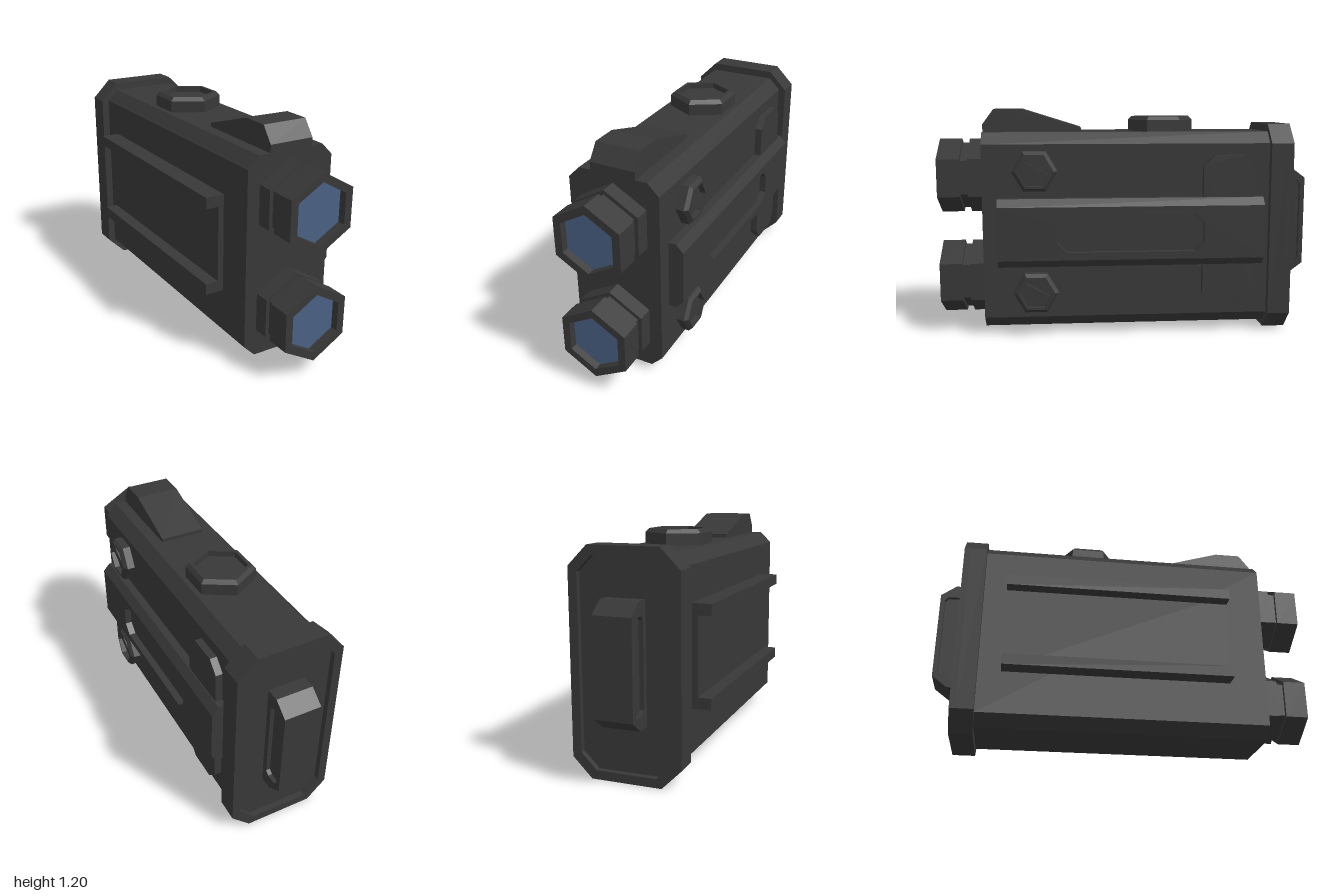
import * as THREE from 'three';

const CX = 0.008; // body centre line

export function createModel() {
  const model = new THREE.Group();
  model.name = 'laserModule';
  const casing = new THREE.MeshStandardMaterial({ color: 0x383838 });
  casing.name = 'charcoal casing';
  const glass = new THREE.MeshStandardMaterial({ color: 0x4a6285 });
  glass.name = 'blue glass';

  const add = (name, geo, x = 0, y = 0, z = 0, mat = casing) => {
    const g = geo.index ? geo.toNonIndexed() : geo;
    g.computeVertexNormals();
    const m = new THREE.Mesh(g, mat);
    m.name = name;
    m.position.set(x, y, z);
    model.add(m);
    return m;
  };
  const poly = (pts) => new THREE.Shape(pts.map(([a, b]) => new THREE.Vector2(a, b)));
  // rectangle with cut corners
  const cut = (x0, y0, x1, y1, c) => poly([
    [x0 + c, y0], [x1 - c, y0], [x1, y0 + c], [x1, y1 - c],
    [x1 - c, y1], [x0 + c, y1], [x0, y1 - c], [x0, y0 + c]]);
  const holed = (shape, hole) => { shape.holes.push(hole); return shape; };
  // extrude an xy shape from z0 to z1
  const alongZ = (shape, z0, z1) =>
    new THREE.ExtrudeGeometry(shape, { depth: z1 - z0, bevelEnabled: false }).translate(0, 0, z0);
  // extrude a (-z, y) shape from x0 to x1
  const alongX = (shape, x0, x1) =>
    new THREE.ExtrudeGeometry(shape, { depth: x1 - x0, bevelEnabled: false }).rotateY(Math.PI / 2).translate(x0, 0, 0);
  const box = (x0, x1, y0, y1, z0, z1) =>
    new THREE.BoxGeometry(x1 - x0, y1 - y0, z1 - z0).translate((x0 + x1) / 2, (y0 + y1) / 2, (z0 + z1) / 2);
  // six-sided turned part from [radius, height] pairs
  const hex = (pts) => new THREE.LatheGeometry(pts.map(([r, h]) => new THREE.Vector2(r, h)), 6);

  // main body and end plate with a raised rim
  add('body', alongZ(cut(-0.24, 0.04, 0.24, 1.08, 0.06), -0.76, 0.76), CX);
  add('endPlate', alongZ(cut(-0.28, 0, 0.28, 1.12, 0.1), -0.85, -0.76), CX);
  add('endPlateRim', alongZ(holed(cut(-0.28, 0, 0.28, 1.12, 0.1),
    cut(-0.235, 0.045, 0.235, 1.075, 0.08)), -0.88, -0.85), CX);

  // rear grip block with hollowed sides
  const gripShape = () => poly([[0.85, 0.28], [0.92, 0.28], [1, 0.34], [1, 0.82], [0.92, 0.88], [0.85, 0.88]]);
  add('rearGrip', alongX(gripShape(), -0.075, 0.075), CX);
  for (const s of [-1, 1]) {
    const frame = holed(gripShape(), cut(0.88, 0.35, 0.975, 0.81, 0.02));
    add('rearGripFrame', alongX(frame, -0.011, 0.011), CX + s * 0.086);
  }

  // front hexagonal emitters with recessed glass
  for (const y of [0.28, 0.84]) {
    const housing = hex([[0.2, 0], [0.2, 0.08], [0.178, 0.08], [0.178, 0.12], [0.2, 0.12],
      [0.2, 0.24], [0.155, 0.24], [0.155, 0.19], [0, 0.19]]).rotateX(Math.PI / 2);
    add('emitterHousing', housing, CX, y, 0.76);
    add('emitterGlass', new THREE.CircleGeometry(0.155, 6).rotateZ(Math.PI / 6), CX, y, 0.96, glass);
  }

  // top ramp and hexagonal button
  const ramp = poly([[-0.76, 1.07], [-0.24, 1.07], [-0.24, 1.1], [-0.56, 1.2], [-0.7, 1.2], [-0.76, 1.12]]);
  add('topRamp', alongX(ramp, -0.119, 0.119), CX);
  add('topButton', hex([[0.177, 0], [0.177, 0.06], [0.157, 0.08], [0.137, 0.08], [0.137, 0.05], [0, 0.05]]),
    CX, 1.08, -0.2);

  // mounting plate and two rails on the right
  add('mountPlate', box(-0.262, -0.23, 0.325, 0.84, -0.64, 0.56));
  for (const y of [0.325, 0.782]) add('mountRail', box(-0.33, -0.23, y, y + 0.058, -0.64, 0.56));

  // long cover on the left, with bevelled edges and a recessed panel
  add('coverBase', box(0.245, 0.29, 0.38, 0.74, -0.72, 0.68));
  const coverFace = holed(poly([[-0.68, 0.42], [0.72, 0.42], [0.72, 0.7], [-0.68, 0.7]]),
    cut(-0.37, 0.46, 0.4, 0.66, 0.05));
  add('coverFace', alongX(coverFace, 0.29, 0.327));
  add('coverUpperBevel', alongZ(poly([[0.29, 0.7], [0.327, 0.7], [0.29, 0.74]]), -0.72, 0.68));
  add('coverLowerBevel', alongZ(poly([[0.29, 0.38], [0.327, 0.42], [0.29, 0.42]]), -0.72, 0.68));
  add('clampPad', alongX(cut(0.4, 0.16, 0.675, 0.96, 0.06), 0.245, 0.285));

  // hexagonal adjuster screws with a tilted bar
  for (const y of [0.24, 0.882]) {
    const screw = hex([[0.119, 0], [0.119, 0.042], [0.1, 0.06], [0.088, 0.06], [0.088, 0.03], [0, 0.03]]);
    add('adjusterScrew', screw.rotateZ(-Math.PI / 2), 0.248, y, 0.485);
    add('adjusterBar', new THREE.BoxGeometry(0.025, 0.04, 0.135).rotateX(-0.5), 0.283, y, 0.485);
  }
  return model;
}
